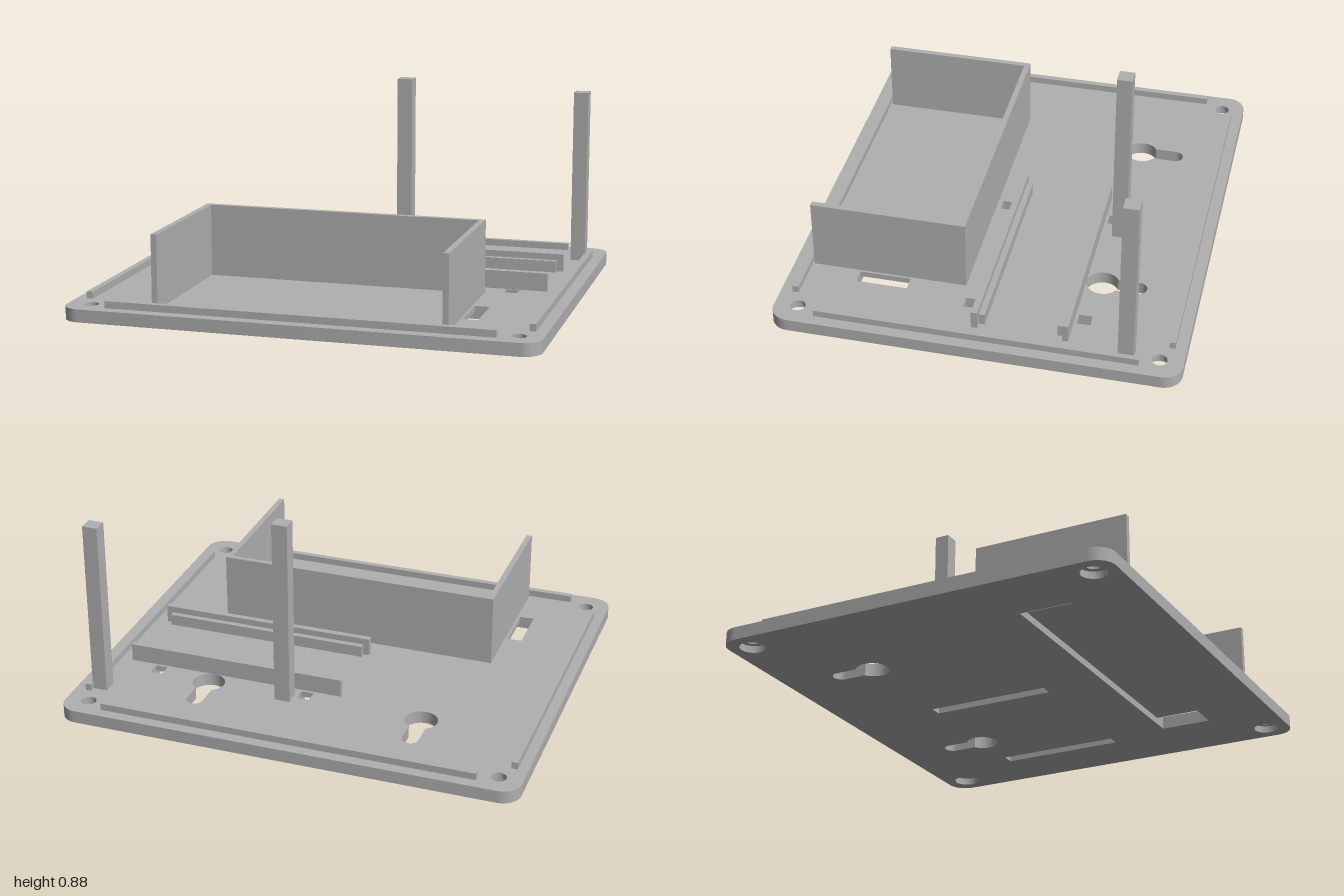
import * as THREE from 'three';
import { toCreasedNormals } from 'three/addons/utils/BufferGeometryUtils.js';

const W = 1, D = 0.8625, R = 0.08;   // plate half width, half depth, corner radius
const TOP = 0.055, RECESS = 0.03;    // plate thickness, depth of underside recesses

// Outlines are drawn with shape y = -z
function rectPath(x0, x1, z0, z1) {
  return new THREE.Path([[x0, -z0], [x1, -z0], [x1, -z1], [x0, -z1]].map(p => new THREE.Vector2(...p)));
}

function circlePath(x, z, r) {
  return new THREE.Path().absarc(x, -z, r, 0, Math.PI * 2);
}

// Round opening with a narrow neck towards the back
function keyholePath(x) {
  const r = 0.07, n = 0.036, a = Math.asin(n / r), c = 0.45, end = 0.604;
  const p = new THREE.Path();
  p.absarc(x, c, r, Math.PI / 2 + a, Math.PI * 2.5 - a);
  p.lineTo(x + n, end);
  p.absarc(x, end, n, 0, Math.PI);
  p.closePath();
  return p;
}

function plateLayer(name, y0, y1, holes, material) {
  const s = new THREE.Shape();
  s.absarc(W - R, D - R, R, 0, Math.PI / 2);
  s.absarc(-W + R, D - R, R, Math.PI / 2, Math.PI);
  s.absarc(-W + R, -D + R, R, Math.PI, Math.PI * 1.5);
  s.absarc(W - R, -D + R, R, Math.PI * 1.5, Math.PI * 2);
  s.closePath();
  s.holes.push(...holes);
  const g = new THREE.ExtrudeGeometry(s, { depth: y1 - y0, bevelEnabled: false, curveSegments: 16 });
  g.rotateX(-Math.PI / 2).translate(0, y0, 0);
  const mesh = new THREE.Mesh(toCreasedNormals(g, 0.6), material);
  mesh.name = name;
  return mesh;
}

export function createModel() {
  const model = new THREE.Group();
  model.name = 'mountingPlate';
  const grey = new THREE.MeshStandardMaterial({ color: 0xb0b0b0 });
  grey.name = 'grey plastic';

  // Box from its limits, standing on the plate
  const block = (name, x0, x1, z0, z1, top) => {
    const mesh = new THREE.Mesh(new THREE.BoxGeometry(x1 - x0, top - TOP, z1 - z0), grey);
    mesh.position.set((x0 + x1) / 2, (top + TOP) / 2, (z0 + z1) / 2);
    mesh.name = name;
    model.add(mesh);
  };

  // Plate: lower layer carries strap grooves and counterbores, upper layer the through holes
  const lower = [], upper = [];
  for (const x of [-0.9, 0.9]) for (const z of [-0.763, 0.763]) {
    lower.push(circlePath(x, z, 0.054));
    upper.push(circlePath(x, z, 0.032));
  }
  for (const x of [-0.48, 0.48]) {
    lower.push(keyholePath(x));
    upper.push(keyholePath(x));
  }
  for (const x of [0.02, 0.7]) {
    lower.push(rectPath(x, x + 0.055, -0.45, 0.09));
    upper.push(rectPath(x, x + 0.055, -0.45, -0.392), rectPath(x, x + 0.055, 0.032, 0.09));
  }
  lower.push(rectPath(-0.7, 0.695, 0.35, 0.57));
  upper.push(rectPath(-0.7, -0.637, 0.35, 0.57), rectPath(0.632, 0.695, 0.35, 0.57));
  model.add(plateLayer('plateUnderside', 0, RECESS, lower, grey));
  model.add(plateLayer('plateTop', RECESS, TOP, upper, grey));

  // Low locating ribs along the four edges
  block('frontRib', -0.82, 0.82, 0.785, 0.812, 0.085);
  block('backRib', -0.82, 0.82, -0.815, -0.79, 0.085);
  block('rightRib', -0.957, -0.93, -0.685, 0.68, 0.085);
  block('leftRib', 0.925, 0.952, -0.685, 0.68, 0.085);

  // Three-sided compartment, open to the front
  block('compartmentBack', -0.625, 0.622, 0.11, 0.135, 0.37);
  block('compartmentRight', -0.625, -0.6, 0.135, 0.778, 0.37);
  block('compartmentLeft', 0.597, 0.622, 0.135, 0.778, 0.37);

  // Stepped rails holding a board
  block('boardRailBack', -0.097, 0.873, -0.38, -0.355, 0.133);
  block('boardLedgeBack', -0.07, 0.845, -0.355, -0.33, 0.105);
  block('boardRailFront', -0.097, 0.873, 0, 0.027, 0.133);
  block('boardLedgeFront', -0.07, 0.845, -0.025, 0, 0.105);

  // Square posts
  block('middlePost', 0.092, 0.16, -0.493, -0.428, 0.878);
  block('sidePost', 0.865, 0.93, -0.66, -0.595, 0.823);

  return model;
}
